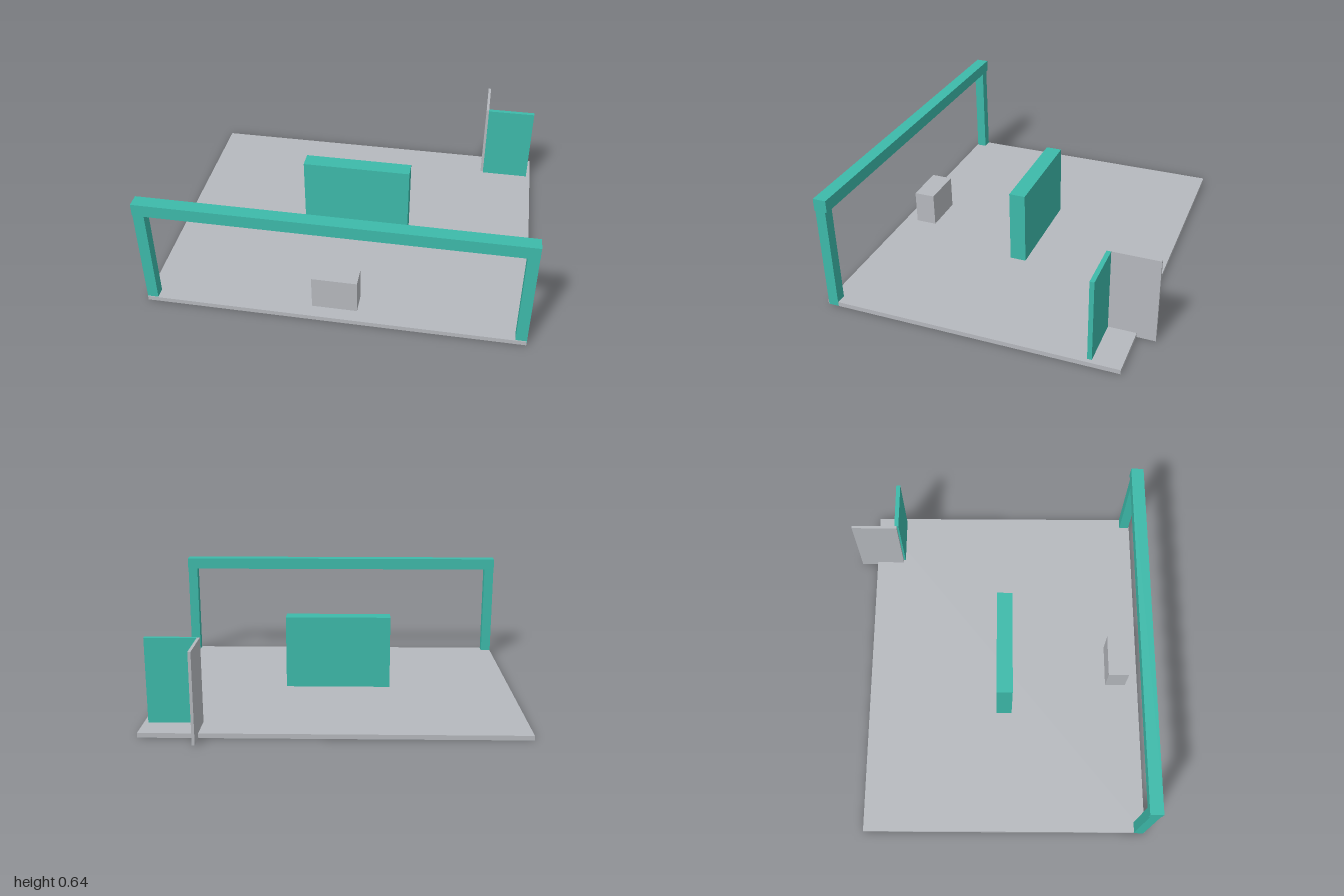
import * as THREE from 'three';

export function createModel() {
  const model = new THREE.Group();
  const teal = new THREE.MeshStandardMaterial({ color: 0x3dbaaa });
  teal.name = 'teal';
  const grey = new THREE.MeshStandardMaterial({ color: 0xb6b9be });
  grey.name = 'grey';

  // Axis-aligned box given by its [min, max] extents
  function block(name, material, [x0, x1], [y0, y1], [z0, z1]) {
    const mesh = new THREE.Mesh(new THREE.BoxGeometry(x1 - x0, y1 - y0, z1 - z0), material);
    mesh.position.set((x0 + x1) / 2, (y0 + y1) / 2, (z0 + z1) / 2);
    mesh.name = name;
    model.add(mesh);
  }

  // Floor slab
  block('floor', grey, [-0.999, 0.999], [0, 0.025], [-0.752, 0.85]);

  // Entrance gantry: two posts carrying a beam
  block('leftPost', teal, [0.942, 1], [0.001, 0.575], [0.79, 0.846]);
  block('rightPost', teal, [-1, -0.942], [0.001, 0.575], [0.79, 0.846]);
  block('beam', teal, [-1, 1], [0.575, 0.643], [0.78, 0.851]);

  // Central display wall and reception counter
  block('displayWall', teal, [-0.3, 0.3], [0.001, 0.441], [0.004, 0.094]);
  block('counter', grey, [-0.12, 0.12], [0.001, 0.215], [0.658, 0.777]);

  // Corner booth made of two thin panels
  block('boothFrontPanel', teal, [0.705, 0.976], [0.001, 0.481], [-0.601, -0.577]);
  block('boothSidePanel', grey, [0.69, 0.705], [0, 0.481], [-0.851, -0.588]);

  return model;
}
